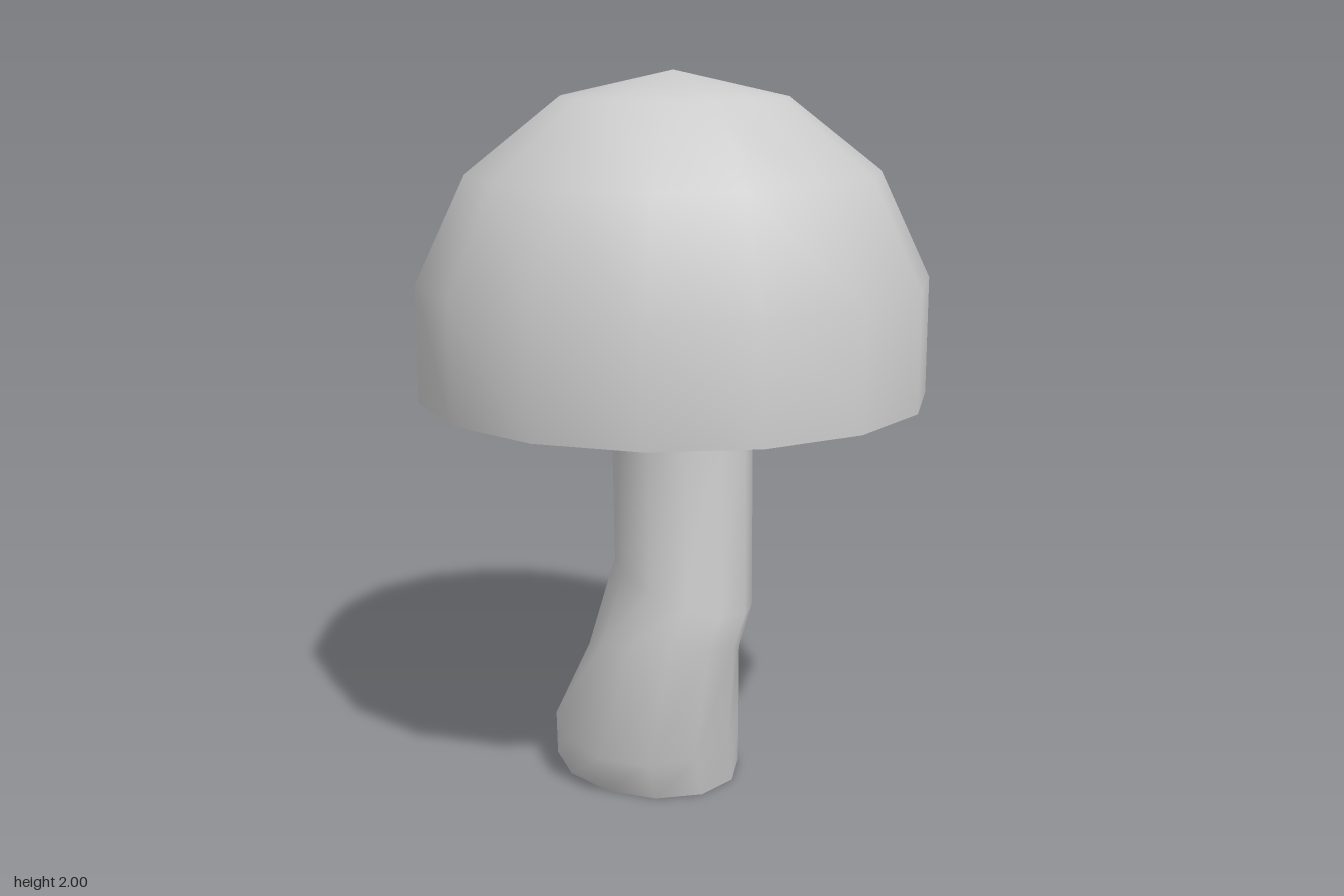
import * as THREE from 'three';
import { mergeVertices } from 'three/addons/utils/BufferGeometryUtils.js';

const material = new THREE.MeshStandardMaterial({ color: 0xcccccc, side: THREE.DoubleSide });
const CAP_SIDES = 15;
const STEM_SIDES = 12;

// Stem cross-sections, bottom to top: x range, z range, mean height, tilt along x and z
const rings = [
  { x: [-0.29, 0.215], z: [-0.392, 0.232], y: 0, tilt: [0, 0] },
  { x: [-0.338, 0.185], z: [-0.283, 0.262], y: 0.165, tilt: [0.02, -0.04] },
  { x: [-0.263, 0.14], z: [-0.185, 0.307], y: 0.397, tilt: [-0.035, 0.065] },
  { x: [-0.202, 0.182], z: [-0.115, 0.283], y: 0.588, tilt: [-0.05, -0.05] },
  { x: [-0.188, 0.2], z: [-0.16, 0.25], y: 1.118, tilt: [0, 0] },
];

// Skin the oval cross-sections into a smooth, bent tube
function stemGeometry() {
  const positions = [];
  const index = [];
  rings.forEach(({ x, z, y, tilt }, j) => {
    for (let i = 0; i < STEM_SIDES; i++) {
      const angle = (i / STEM_SIDES) * Math.PI * 2;
      const c = Math.cos(angle);
      const s = Math.sin(angle);
      positions.push(
        (x[0] + x[1]) / 2 + ((x[1] - x[0]) / 2) * c,
        y + tilt[0] * c + tilt[1] * s,
        (z[0] + z[1]) / 2 + ((z[1] - z[0]) / 2) * s
      );
      if (j < rings.length - 1) {
        const next = (i + 1) % STEM_SIDES;
        const a = j * STEM_SIDES + i;
        const b = j * STEM_SIDES + next;
        index.push(a, a + STEM_SIDES, b, b, a + STEM_SIDES, b + STEM_SIDES);
      }
    }
  });
  const geometry = new THREE.BufferGeometry();
  geometry.setAttribute('position', new THREE.Float32BufferAttribute(positions, 3));
  geometry.setIndex(index);
  geometry.computeVertexNormals();
  return geometry;
}

// Flat face closing the foot of the stem
function footGeometry({ x, z }) {
  const geometry = new THREE.CircleGeometry(1, STEM_SIDES);
  geometry.rotateX(Math.PI / 2);
  geometry.scale((x[1] - x[0]) / 2, 1, (z[1] - z[0]) / 2);
  geometry.translate((x[0] + x[1]) / 2, 0, (z[0] + z[1]) / 2);
  return geometry;
}

// Hollow dome with a straight skirt, welded so the crown shades smoothly
function capGeometry() {
  const profile = [[0.706, 1.117], [0.706, 1.44], [0.568, 1.73], [0.313, 1.93], [0, 2]]
    .map(([r, y]) => new THREE.Vector2(r, y));
  const lathe = new THREE.LatheGeometry(profile, CAP_SIDES, Math.PI);
  lathe.deleteAttribute('uv');
  lathe.deleteAttribute('normal');
  const geometry = mergeVertices(lathe, 1e-3);
  geometry.translate(0, 0, 0.007);
  geometry.computeVertexNormals();
  return geometry;
}

function addMesh(parent, name, geometry) {
  const mesh = new THREE.Mesh(geometry, material);
  mesh.name = name;
  parent.add(mesh);
}

export function createModel() {
  const model = new THREE.Group();
  model.name = 'mushroom';
  addMesh(model, 'stem', stemGeometry());
  addMesh(model, 'stemFoot', footGeometry(rings[0]));
  addMesh(model, 'cap', capGeometry());
  return model;
}
